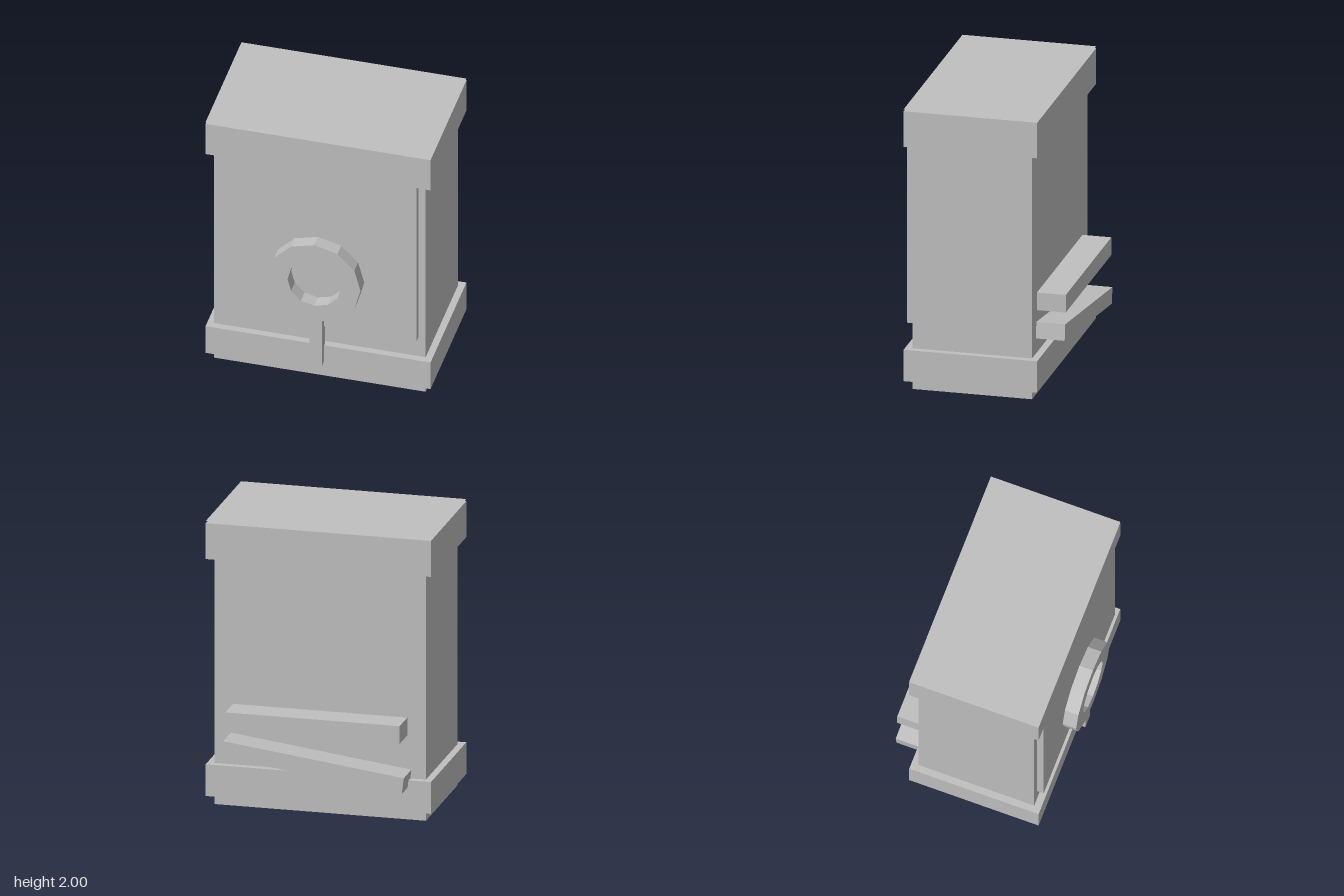
import * as THREE from 'three';

export function createModel() {
  const model = new THREE.Group();
  const stone = new THREE.MeshStandardMaterial({ color: 0xc0c0c0 });
  stone.name = 'pale grey';
  const lidMaterial = stone.clone();
  lidMaterial.side = THREE.DoubleSide;

  // Box given by its minimum and maximum corners
  function block(name, [x0, y0, z0], [x1, y1, z1], parent = model) {
    const mesh = new THREE.Mesh(new THREE.BoxGeometry(x1 - x0, y1 - y0, z1 - z0), stone);
    mesh.position.set((x0 + x1) / 2, (y0 + y1) / 2, (z0 + z1) / 2);
    mesh.name = name;
    parent.add(mesh);
    return mesh;
  }

  // Cabinet with raised front panel and two surrounding bands
  block('body', [-0.735, 0, -0.475], [0.735, 1.75, 0.355]);
  block('frontPanel', [-0.685, 0.45, 0.34], [0.685, 1.74, 0.404]);
  block('baseBand', [-0.782, 0.067, -0.523], [0.782, 0.29, 0.404]);
  block('topBand', [-0.782, 1.733, -0.523], [0.782, 1.986, 0.404]);

  // Thin sheet hovering just above the top band
  const lid = new THREE.Mesh(new THREE.PlaneGeometry(1.564, 0.927), lidMaterial);
  lid.rotation.x = -Math.PI / 2;
  lid.position.set(0, 2, -0.0595);
  lid.name = 'topSheet';
  model.add(lid);

  // Ring of twelve overlapping blocks
  const ring = new THREE.Group();
  ring.name = 'frontRing';
  ring.position.set(0, 0.87, 0.452);
  const count = 12, radius = 0.321, depth = 0.13;
  const edge = 2 * radius * Math.sin(Math.PI / count);
  const middle = radius * Math.cos(Math.PI / count) - depth / 2;
  for (let i = 0; i < count; i++) {
    const angle = ((i + 0.5) / count) * Math.PI * 2;
    const segment = new THREE.Mesh(new THREE.BoxGeometry(depth, edge, 0.097), stone);
    segment.position.set(middle * Math.cos(angle), middle * Math.sin(angle), 0);
    segment.rotation.z = angle;
    segment.name = 'ringSegment';
    ring.add(segment);
  }
  model.add(ring);

  // Handle below the ring
  block('handle', [-0.045, 0.158, 0.387], [0.043, 0.56, 0.463]);

  // Two bars across the back, the lower one tilted
  block('upperBackBar', [-0.605, 0.59, -0.675], [0.605, 0.715, -0.475]);
  const bar = block('lowerBackBar', [-0.632, 0.318, -0.675], [0.632, 0.432, -0.475]);
  bar.rotation.z = 0.127;

  return model;
}
